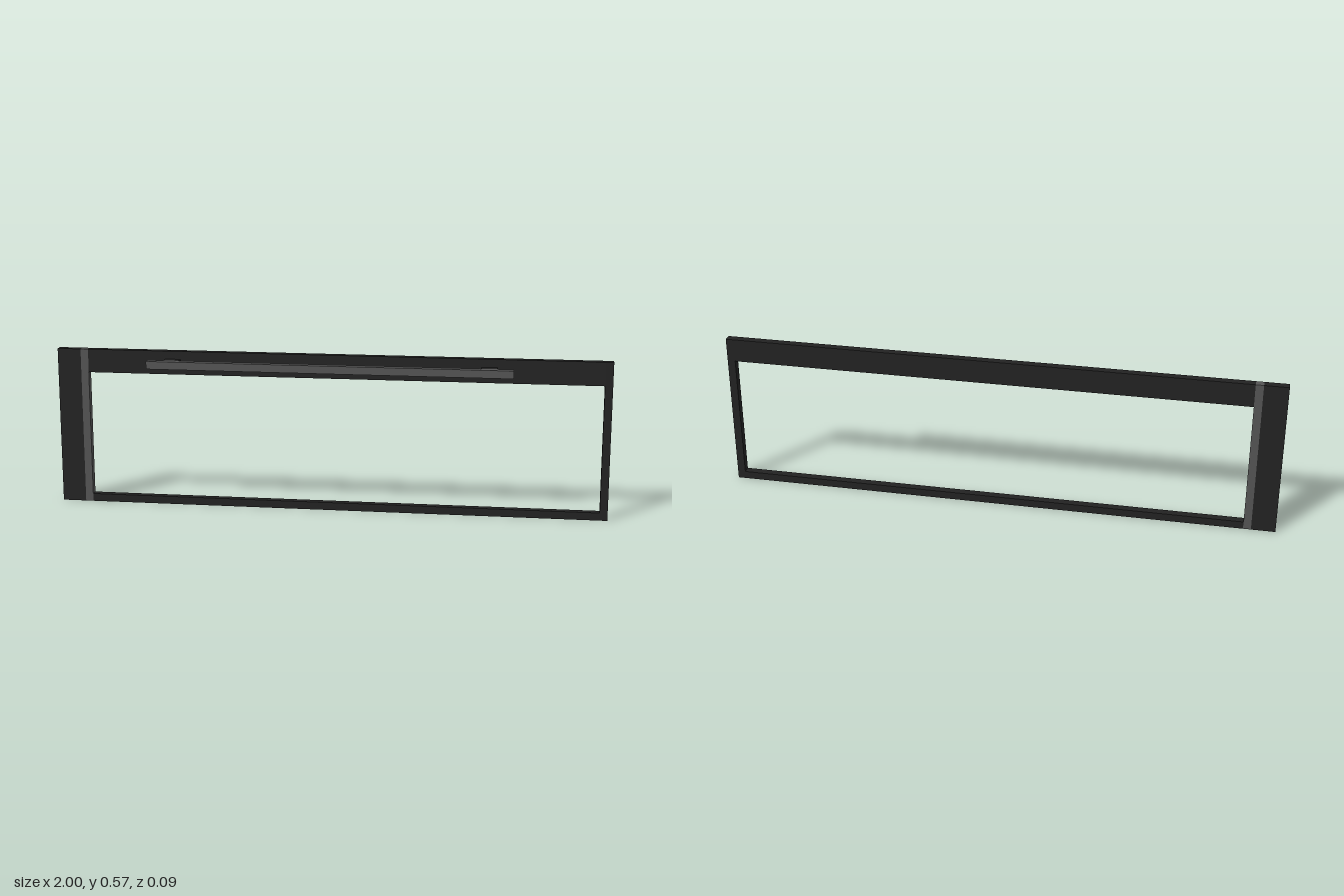
import * as THREE from 'three';

export function createModel() {
  const model = new THREE.Group();
  const black = new THREE.MeshStandardMaterial({ color: 0x222222 });
  black.name = 'matte black';
  const grey = new THREE.MeshStandardMaterial({ color: 0x555555 });
  grey.name = 'dark grey';

  // Box given by its extents along each axis
  function bar(name, material, [x0, x1], [y0, y1], [z0, z1]) {
    const mesh = new THREE.Mesh(new THREE.BoxGeometry(x1 - x0, y1 - y0, z1 - z0), material);
    mesh.position.set((x0 + x1) / 2, (y0 + y1) / 2, (z0 + z1) / 2);
    mesh.name = name;
    model.add(mesh);
  }

  const height = 0.573;
  const depth = [-0.042, -0.014];
  const stripX = [-0.914, -0.886];

  // Frame: wide stile, grey strip, top and bottom rails, narrow stile
  bar('wideStile', black, [-1, stripX[0]], [0, height], depth);
  bar('stileStrip', grey, stripX, [0, height], depth);
  bar('topRail', black, [stripX[1], 0.972], [0.488, height], depth);
  bar('bottomRail', black, [stripX[1], 0.972], [0, 0.028], depth);
  bar('narrowStile', black, [0.972, 1], [0, height], depth);

  // Handle bar on two standoffs
  const handleY = [0.516, 0.544];
  bar('handleBar', grey, [-0.656, 0.656], handleY, [0.015, 0.043]);
  for (const x of [-0.57, 0.57]) {
    bar('handleStandoff', black, [x - 0.028, x + 0.028], handleY, [depth[1], 0.015]);
  }

  return model;
}
